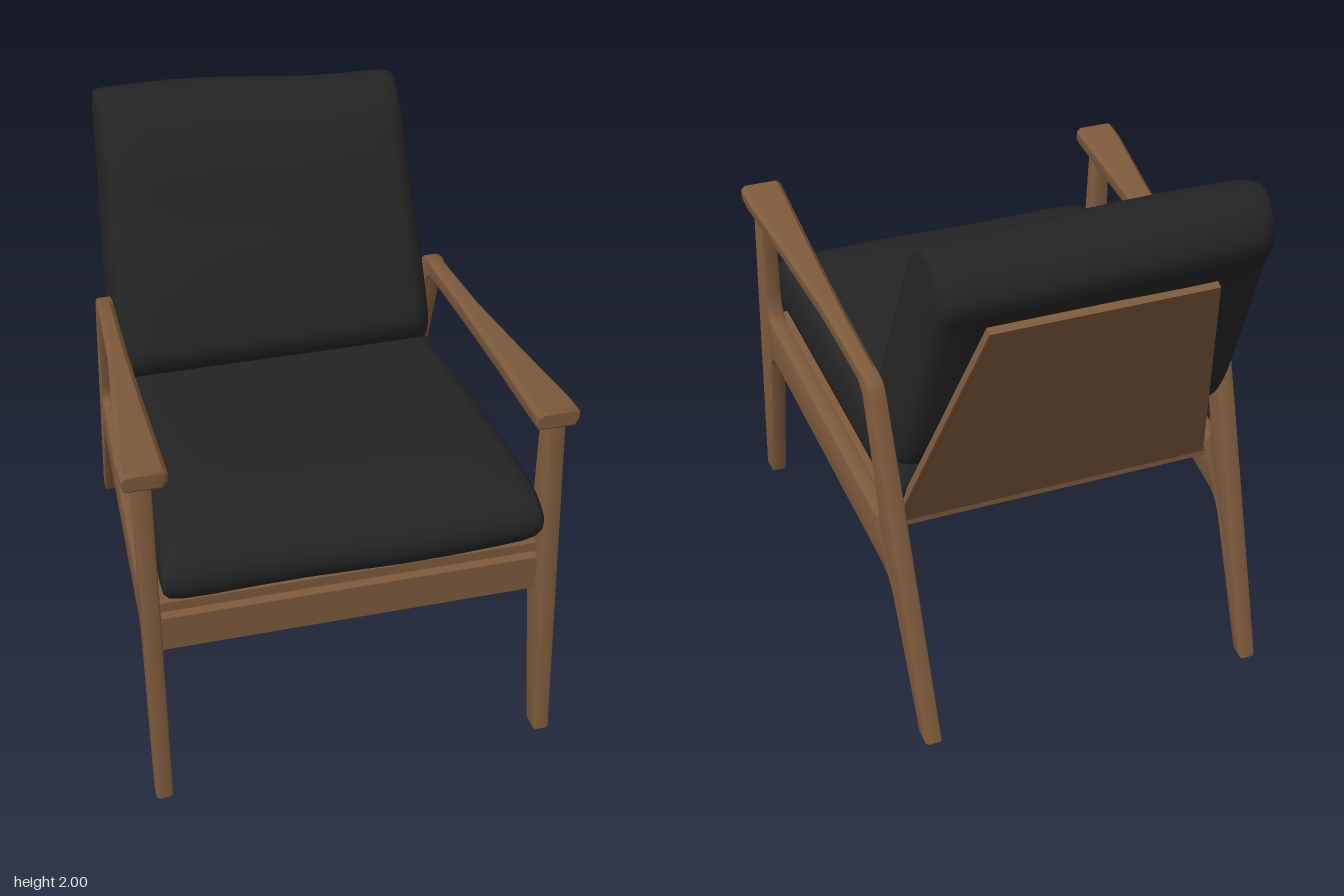
import * as THREE from 'three';
import { toCreasedNormals } from 'three/addons/utils/BufferGeometryUtils.js';

const wood = new THREE.MeshStandardMaterial({ color: 0x7d5a3c });
wood.name = 'walnut wood';
const fabric = new THREE.MeshStandardMaterial({ color: 0x242424 });
fabric.name = 'black upholstery';

function part(name, geometry, material) {
  const mesh = new THREE.Mesh(geometry, material);
  mesh.name = name;
  return mesh;
}

// Skins a list of closed rings of [x, y, z] points
function loft(rings, crease) {
  const n = rings[0].length, index = [];
  for (let i = 0; i < rings.length - 1; i++) {
    for (let j = 0; j < n; j++) {
      const k = (j + 1) % n, a = i * n, b = a + n;
      index.push(a + j, b + j, b + k, a + j, b + k, a + k);
    }
  }
  const g = new THREE.BufferGeometry();
  g.setAttribute('position', new THREE.Float32BufferAttribute(rings.flat(2), 3));
  g.setIndex(index);
  return toCreasedNormals(g, crease);
}

// Mirrors an unindexed geometry in x and restores the winding
function mirrorX(source) {
  const g = new THREE.BufferGeometry();
  const p = source.attributes.position, out = [];
  for (let i = 0; i < p.count; i += 3) {
    for (const k of [i + 2, i + 1, i]) out.push(-p.getX(k), p.getY(k), p.getZ(k));
  }
  g.setAttribute('position', new THREE.Float32BufferAttribute(out, 3));
  return toCreasedNormals(g, 0.6);
}

// Right side: both legs and the side rail cut as one piece, toed in towards the back
function sideFrame() {
  const s = new THREE.Shape();
  s.moveTo(0.965, 0);
  s.lineTo(0.832, 1.39);
  s.lineTo(0.75, 1.38);
  s.lineTo(0.755, 0.99);
  s.quadraticCurveTo(0.75, 0.87, 0.69, 0.864);
  s.lineTo(-0.46, 0.745);
  s.quadraticCurveTo(-0.53, 0.735, -0.515, 0.81);
  s.lineTo(-0.40, 1.22);
  s.lineTo(-0.36, 1.25);
  s.lineTo(-0.37, 1.31);
  s.quadraticCurveTo(-0.46, 1.315, -0.485, 1.25);
  s.lineTo(-0.597, 0.95);
  s.lineTo(-0.93, 0);
  s.lineTo(-0.86, 0);
  s.lineTo(-0.635, 0.48);
  s.quadraticCurveTo(-0.60, 0.55, -0.52, 0.555);
  s.lineTo(0.68, 0.68);
  s.quadraticCurveTo(0.76, 0.69, 0.775, 0.60);
  s.lineTo(0.89, 0);
  s.closePath();
  const g = new THREE.ExtrudeGeometry(s, {
    depth: 0.041, bevelThickness: 0.012, bevelSize: 0.012, bevelOffset: -0.012,
    bevelSegments: 2, curveSegments: 8,
  });
  const p = g.attributes.position;
  for (let i = 0; i < p.count; i++) {
    const z = p.getX(i), d = p.getZ(i) - 0.0205;
    p.setXYZ(i, -(0.685 + 0.05 * z + d), p.getY(i), z);
  }
  return toCreasedNormals(g, 0.6);
}

// Armrest paddle: wide at the front, narrowing into the rear leg
function armrest() {
  // z, inner x, outer x, bottom y, top y
  const stations = [
    [0.85, 0.65, 0.795, 1.38, 1.435], [0.84, 0.64, 0.80, 1.368, 1.445],
    [0.76, 0.64, 0.798, 1.358, 1.437], [0.4, 0.643, 0.757, 1.322, 1.398],
    [0, 0.642, 0.716, 1.28, 1.355], [-0.3, 0.636, 0.70, 1.248, 1.323],
    [-0.39, 0.633, 0.697, 1.238, 1.314], [-0.43, 0.632, 0.695, 1.232, 1.295],
  ];
  const rings = stations.map(([z, a, b, lo, hi]) => {
    const c = 0.016, u = (b - a) * 0.1;
    return [[b, lo + 0.025], [b, hi - c], [b - c, hi], [a + c, hi],
      [a, hi - c], [a, lo + 0.025], [a + u, lo], [b - u, lo]].map(([x, y]) => [x, y, z]);
  });
  const middle = (r) => {
    const c = [0, 1, 2].map((k) => r.reduce((t, q) => t + q[k], 0) / r.length);
    return r.map(() => c);
  };
  return loft([middle(rings[0]), ...rings, middle(rings[rings.length - 1])], 0.6);
}

// Pillow: a (z, y) profile run across x, thinned towards both ends
function cushion(profile, samples, center, axis, halfWidth, sag) {
  const curve = new THREE.CatmullRomCurve3(
    profile.map(([z, y]) => new THREE.Vector3(0, y, z)), true, 'centripetal');
  const pts = curve.getPoints(samples).slice(0, -1);
  const len = Math.hypot(...axis), az = axis[0] / len, ay = axis[1] / len;
  const half = [[1, 0], [1, 0.45], [0.99, 0.74], [0.965, 0.88], [0.9, 0.96], [0.75, 0.99], [0.5, 1], [0.25, 1]];
  const stations = [...half.map(([t, s]) => [-t, s]), [0, 1], ...half.slice().reverse()];
  const rings = stations.map(([t, s]) => pts.map((p) => {
    const dz = p.z - center[0], dy = p.y - center[1];
    const u = (dz * az + dy * ay) * (1 - 0.06 * (1 - s));
    const v = (dy * az - dz * ay) * s;
    const z = center[0] + u * az - v * ay, y = center[1] + u * ay + v * az;
    return sag(t * halfWidth(z, y), y, z);
  }));
  return loft(rings, 1.0);
}

export function createModel() {
  const chair = new THREE.Group();
  chair.name = 'loungeChair';

  // Side frames and armrests
  const frame = sideFrame(), arm = armrest();
  chair.add(part('rightSideFrame', frame, wood), part('leftSideFrame', mirrorX(frame), wood));
  chair.add(part('leftArmrest', arm, wood), part('rightArmrest', mirrorX(arm), wood));

  // Front rail
  const rail = part('frontRail', new THREE.BoxGeometry(1.40, 0.147, 0.05), wood);
  rail.position.set(0, 0.7125, 0.825);
  chair.add(rail);

  // Seat board, tilted back and tapering with the side frames
  const seatBoard = new THREE.BoxGeometry(1, 0.04, 1.32);
  const sp = seatBoard.attributes.position;
  for (let i = 0; i < sp.count; i++) {
    const z = sp.getZ(i) + 0.17;
    sp.setXYZ(i, sp.getX(i) * 2 * (0.66 + 0.05 * z), sp.getY(i) + 0.738 + 0.1 * z, z);
  }
  seatBoard.computeVertexNormals();
  chair.add(part('seatBoard', seatBoard, wood));

  // Tapered back board
  const outline = new THREE.Shape([[-0.62, 0], [0.62, 0], [0.41, 1.1], [-0.41, 1.1]]
    .map(([x, y]) => new THREE.Vector2(x, y)));
  const board = part('backBoard',
    new THREE.ExtrudeGeometry(outline, { depth: 0.03, bevelEnabled: false }), wood);
  board.position.set(0, 0.69, -0.49);
  board.rotation.x = -Math.atan2(0.425, 1.01);
  chair.add(board);

  // Seat cushion
  const seat = [[0.915, 0.96], [0.90, 1.04], [0.83, 1.09], [0.70, 1.108], [0.3, 1.092], [-0.1, 1.05],
    [-0.45, 0.98], [-0.53, 0.88], [-0.49, 0.765], [-0.4, 0.752], [0.1, 0.80], [0.7, 0.862], [0.86, 0.88]];
  chair.add(part('seatCushion', cushion(seat, 56, [0.2, 0.935], [1, 0.1],
    (z) => 0.645 + 0.05 * z,
    (x, y, z) => [x, y, z + 0.006 * Math.sin(x * 7)]), fabric));

  // Back cushion, slumping towards one top corner
  const back = [[-0.225, 1.12], [-0.27, 1.25], [-0.45, 1.61], [-0.58, 1.86], [-0.69, 1.97], [-0.80, 2.0],
    [-0.91, 1.95], [-0.955, 1.85], [-0.885, 1.70], [-0.73, 1.33], [-0.605, 1.05], [-0.52, 0.95],
    [-0.38, 0.935], [-0.27, 1.02]];
  chair.add(part('backCushion', cushion(back, 64, [-0.57, 1.46], [-0.42, 1],
    (z, y) => 0.63 - 0.04 * THREE.MathUtils.smoothstep(y, 1.0, 2.0),
    (x, y, z) => {
      const h = THREE.MathUtils.clamp((y - 1.2) / 0.8, 0, 1);
      const d = h * THREE.MathUtils.smoothstep(x, -0.3, 0.4);
      return [x - 0.015, y - 0.037 * d, z + 0.035 * d];
    }), fabric));

  return chair;
}
